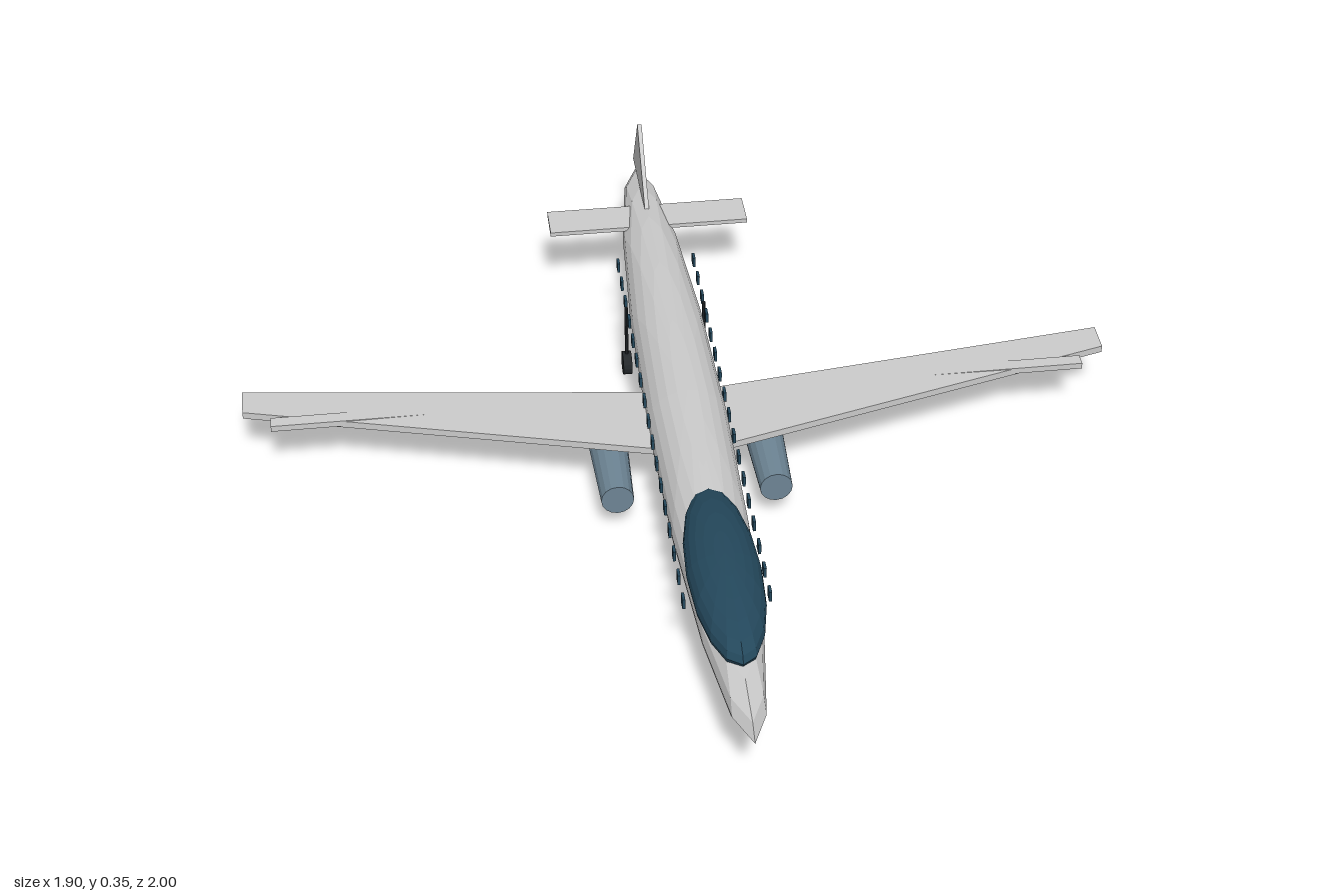
import * as THREE from 'three';

const paint = (color) => new THREE.MeshStandardMaterial({ color, flatShading: true });
const GREY = paint(0xcccccc);
const GLASS = paint(0x24485c);
const ENGINE = paint(0x6d8494);
const DARK = paint(0x24282b);

export function createModel() {
  const model = new THREE.Group();

  function add(name, geometry, material, x = 0, y = 0, z = 0) {
    const mesh = new THREE.Mesh(geometry, material);
    mesh.name = name;
    mesh.position.set(x, y, z);
    model.add(mesh);
    return mesh;
  }

  // Flat slab from [a, b] outline points, centred on its thickness
  function slab(points, thickness) {
    const shape = new THREE.Shape(points.map(([a, b]) => new THREE.Vector2(a, b)));
    return new THREE.ExtrudeGeometry(shape, { depth: thickness, bevelEnabled: false })
      .translate(0, 0, -thickness / 2);
  }

  // Stretched spheres for the body and the cockpit glass
  add('fuselage', new THREE.SphereGeometry(1, 16, 12).scale(0.087, 0.086, 1), GREY, 0, 0.155, 0);
  add('canopy', new THREE.SphereGeometry(1, 16, 12).scale(0.076, 0.056, 0.27), GLASS, 0, 0.211, 0.57);

  // Tail
  add('tailplane', new THREE.BoxGeometry(0.46, 0.01, 0.088), GREY, 0, 0.187, -0.745);
  const fin = slab([[0.74, 0.207], [0.985, 0.197], [0.885, 0.355]], 0.01);
  add('fin', fin.rotateY(Math.PI / 2), GREY);

  for (const side of [-1, 1]) {
    const label = side > 0 ? 'left' : 'right';

    // Swept wing: outline in x and -z, laid flat, drooping slightly to the tip
    const outline = [[0.03, -0.107], [0.95, 0.158], [0.95, 0.23], [0.03, 0.1]];
    const wing = slab(outline.map(([x, y]) => [side * x, y]), 0.016).rotateX(-Math.PI / 2);
    const p = wing.attributes.position;
    for (let i = 0; i < p.count; i++) p.setY(i, p.getY(i) - 0.011 * Math.abs(p.getX(i)));
    wing.computeVertexNormals();
    add(label + 'Wing', wing, GREY, 0, 0.155, 0);

    // Flap standing out of the leading edge
    add(label + 'Flap', new THREE.BoxGeometry(0.34, 0.014, 0.03), GREY, side * 0.72, 0.15, -0.11);

    // Engine, wider towards its rear, with a dark exhaust ring
    const pod = new THREE.CylinderGeometry(0.035, 0.043, 0.21, 16).rotateX(Math.PI / 2);
    add(label + 'Engine', pod, ENGINE, side * 0.17, 0.085, 0.055);
    add(label + 'ExhaustRing', new THREE.TorusGeometry(0.038, 0.008, 8, 20), DARK, side * 0.17, 0.085, -0.05);
    add(label + 'Exhaust', new THREE.CircleGeometry(0.034, 16).rotateY(Math.PI), DARK, side * 0.17, 0.085, -0.052);

    // Row of cabin windows
    for (let i = 0; i < 17; i++) {
      add(label + 'Window', new THREE.BoxGeometry(0.006, 0.024, 0.022), GLASS, side * 0.087, 0.18, 0.605 - i * 0.0733);
    }
  }

  // Landing gear: nose wheel and two main wheels
  for (const [name, x, z, top] of [['nose', 0, 0.46, 0.13], ['leftMain', 0.088, -0.4, 0.18], ['rightMain', -0.088, -0.4, 0.18]]) {
    const wheel = new THREE.CylinderGeometry(0.027, 0.027, 0.02, 16).rotateZ(Math.PI / 2);
    add(name + 'Wheel', wheel, DARK, x, 0.027 + 0.005, z);
    add(name + 'Strut', new THREE.CylinderGeometry(0.004, 0.004, top - 0.03, 8), DARK, x, (top + 0.03) / 2, z);
  }
  model.children.filter((m) => m.name.endsWith('Wheel')).forEach((m) => { m.position.y = 0.027; });

  return model;
}
